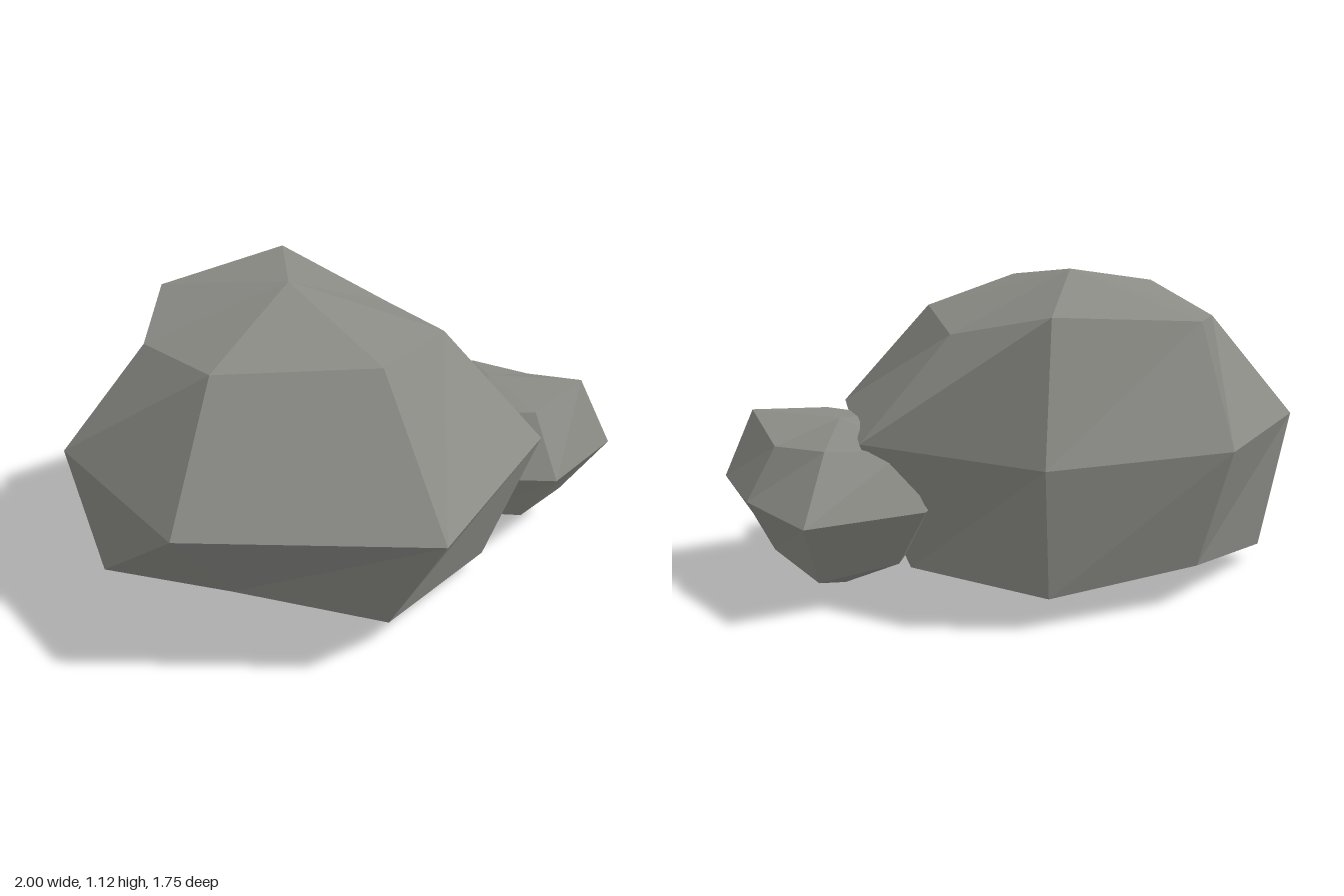
import * as THREE from 'three';

// Faceted boulder: top and bottom points joined by rings of corners,
// each ring running from -x past +z to +x and round the back.
function boulder(name, material, top, rings, bottom) {
  const n = rings[0].length;
  const tris = [];
  for (let i = 0; i < n; i++) {
    const j = (i + 1) % n;
    tris.push(rings[0][i], rings[0][j], top);
    for (let r = 0; r < rings.length - 1; r++) {
      const upper = rings[r], lower = rings[r + 1];
      tris.push(lower[i], lower[j], upper[j]);
      tris.push(lower[i], upper[j], upper[i]);
    }
    const last = rings[rings.length - 1];
    tris.push(bottom, last[j], last[i]);
  }
  const geometry = new THREE.BufferGeometry();
  geometry.setAttribute('position', new THREE.Float32BufferAttribute(tris.flat(), 3));
  geometry.computeVertexNormals();
  const mesh = new THREE.Mesh(geometry, material);
  mesh.name = name;
  return mesh;
}

// Ring of corners that all share one height
const level = (y, points) => points.map(([x, z]) => [x, y, z]);

export function createModel() {
  const group = new THREE.Group();
  group.name = 'rocks';
  const stone = new THREE.MeshStandardMaterial({ color: 0x8b8b86, flatShading: true });
  stone.name = 'stone grey';

  // Large boulder
  group.add(boulder('largeRock', stone, [-0.15, 1.12, -0.15], [
    [[-0.72, 1.02, 0.13], [-0.3, 1.035, 0.49], [0.2, 0.965, 0.28], [0.34, 0.92, -0.15],
      [0.26, 1.035, -0.67], [-0.29, 0.99, -0.73], [-0.62, 0.945, -0.38]],
    level(0.575, [[-1, 0.26], [-0.385, 0.87], [0.42, 0.57], [0.69, -0.15],
      [0.35, -0.78], [-0.32, -0.88], [-0.9, -0.51]]),
    [[-0.66, 0.18, 0.12], [-0.3, 0.09, 0.53], [0.3, 0.075, 0.42], [0.49, 0.1, -0.12],
      [0.265, 0.11, -0.67], [-0.29, 0.15, -0.74], [-0.81, 0.067, -0.46]],
  ], [-0.15, 0.075, -0.15]));

  // Small stone leaning on its left side
  group.add(boulder('smallRock', stone, [0.64, 0.612, 0.12], [
    [[0.4, 0.57, 0.26], [0.555, 0.585, 0.43], [0.86, 0.615, 0.4], [0.89, 0.54, 0.11],
      [0.8, 0.555, -0.11], [0.56, 0.55, -0.22], [0.42, 0.56, 0]],
    level(0.357, [[0.3, 0.33], [0.53, 0.57], [0.94, 0.495], [1, 0.11],
      [0.96, -0.3], [0.53, -0.32], [0.3, -0.05]]),
    [[0.4, 0.14, 0.25], [0.53, 0.145, 0.41], [0.825, 0.135, 0.36], [0.9, 0.168, 0.12],
      [0.85, 0.115, -0.15], [0.56, 0.14, -0.17], [0.42, 0.14, 0]],
  ], [0.635, 0, 0.12]));

  return group;
}
